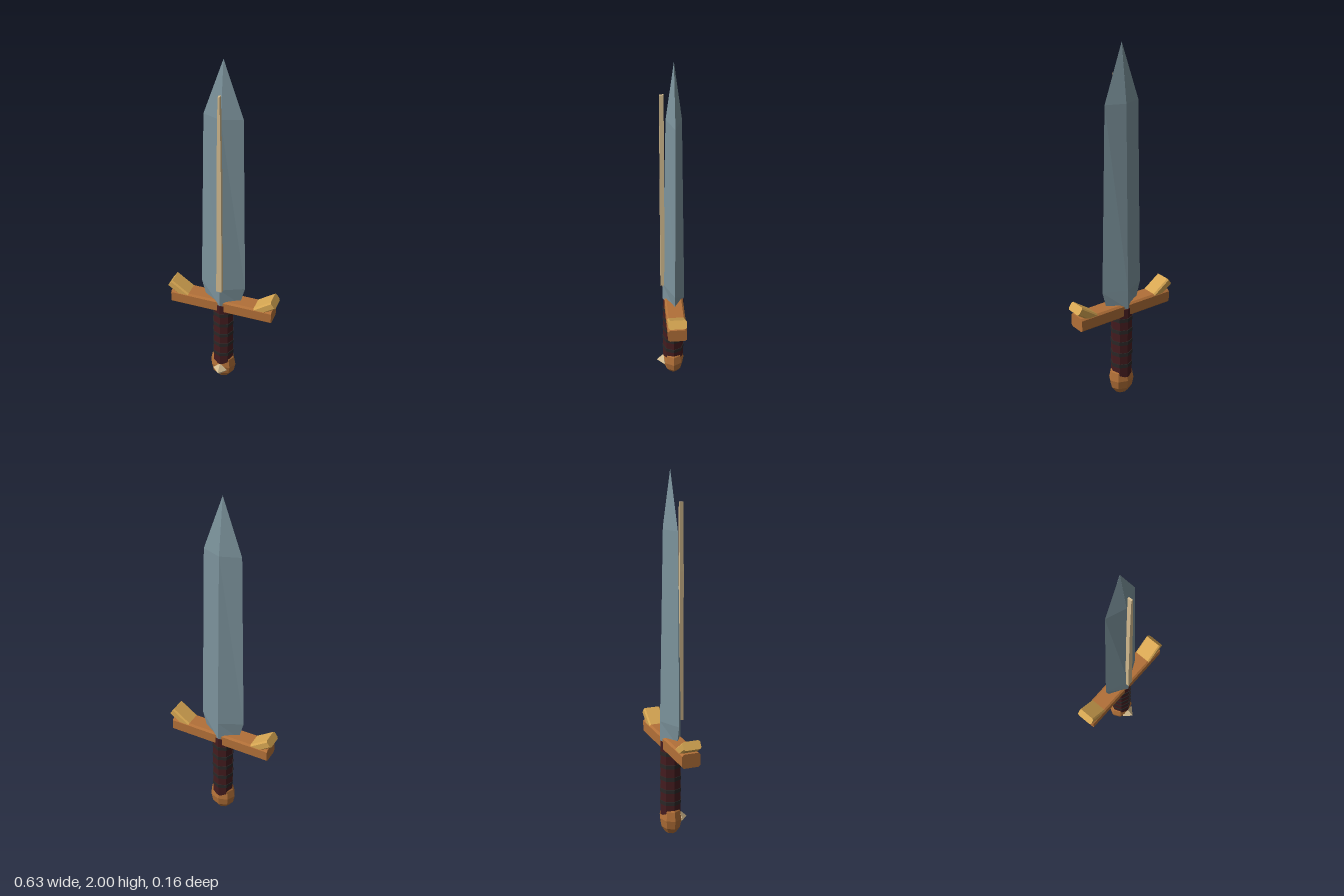
import * as THREE from 'three';

const mat = (name, color) => {
  const m = new THREE.MeshStandardMaterial({ color, flatShading: true });
  m.name = name;
  return m;
};

export function createModel() {
  const steel = mat('steel', 0x7c939c);
  const bronze = mat('bronze', 0xb27038);
  const gold = mat('gold', 0xd6a652);
  const leather = mat('dark red leather', 0x441c1f);
  const wrap = mat('dark wrap', 0x2b2828);
  const ivory = mat('ivory', 0xd4bc90);

  const root = new THREE.Group();
  root.name = 'sword';
  const body = new THREE.Group(); // centre line sits slightly behind z = 0
  body.name = 'swordBody';
  body.position.z = -0.018;
  root.add(body);

  const add = (name, geometry, material, x = 0, y = 0, z = 0) => {
    const mesh = new THREE.Mesh(geometry, material);
    mesh.name = name;
    mesh.position.set(x, y, z);
    body.add(mesh);
    return mesh;
  };

  // Skin stacked rings of four corners: [y, half width, half depth, centre z]
  const loft = (rows, corners) => {
    const pos = [], index = [], last = (rows.length - 1) * 4;
    for (const [y, w, d, cz = 0] of rows)
      for (const [cx, z] of corners) pos.push(cx * w, y, cz + z * d);
    for (let r = 0; r < rows.length - 1; r++)
      for (let i = 0; i < 4; i++) {
        const a = r * 4 + i, b = r * 4 + (i + 1) % 4;
        index.push(a, b, a + 4, b, b + 4, a + 4);
      }
    index.push(0, 2, 1, 0, 3, 2, last, last + 1, last + 2, last, last + 2, last + 3);
    const g = new THREE.BufferGeometry();
    g.setAttribute('position', new THREE.Float32BufferAttribute(pos, 3));
    g.setIndex(index);
    const flat = g.toNonIndexed();
    flat.computeVertexNormals();
    return flat;
  };

  // Bar along x with chamfered long edges
  const bar = (length, h, d, c) => {
    const s = new THREE.Shape([
      [-d, -h + c], [-d + c, -h], [d - c, -h], [d, -h + c],
      [d, h - c], [d - c, h], [-d + c, h], [-d, h - c],
    ].map(([x, y]) => new THREE.Vector2(x, y)));
    return new THREE.ExtrudeGeometry(s, { depth: length, bevelEnabled: false })
      .translate(0, 0, -length / 2).rotateY(Math.PI / 2);
  };

  // Diamond-section blade
  const diamond = [[1, 0], [0, -1], [-1, 0], [0, 1]];
  add('blade', loft([
    [0.56, 0.098, 0.06], [0.67, 0.127, 0.06], [1.7, 0.105, 0.04], [2, 0.0005, 0.0005],
  ], diamond), steel);

  // Narrow tapered strip in front of the blade ridge
  const square = [[1, 1], [1, -1], [-1, -1], [-1, 1]];
  add('bladeStrip', loft([
    [0.667, 0.016, 0.011, 0.06], [1.48, 0.011, 0.011, 0.06], [1.835, 0.005, 0.011, 0.06],
  ], square), ivory);

  // Crossguard with a raised horn at each end
  add('crossguard', bar(0.59, 0.039, 0.051, 0.01), bronze, 0, 0.545);
  for (const side of [1, -1]) {
    const horn = add(side > 0 ? 'leftHorn' : 'rightHorn', bar(0.16, 0.024, 0.049, 0.008), gold, side * 0.237, 0.586);
    horn.rotation.z = side * 0.61;
  }

  // Grip and its wrapped bands
  add('grip', new THREE.CylinderGeometry(0.059, 0.059, 0.43, 8), leather, 0, 0.34);
  for (let i = 0; i < 5; i++)
    add('gripBand', new THREE.CylinderGeometry(0.062, 0.062, 0.022, 8), wrap, 0, 0.2 + i * 0.072);

  // Egg-shaped pommel with a faceted stud on the front
  add('pommel', new THREE.SphereGeometry(0.1, 8, 6), bronze, 0, 0.1).scale.set(0.76, 1, 0.62);
  add('pommelStud', new THREE.OctahedronGeometry(0.042), ivory, 0, 0.087, 0.055);

  return root;
}
